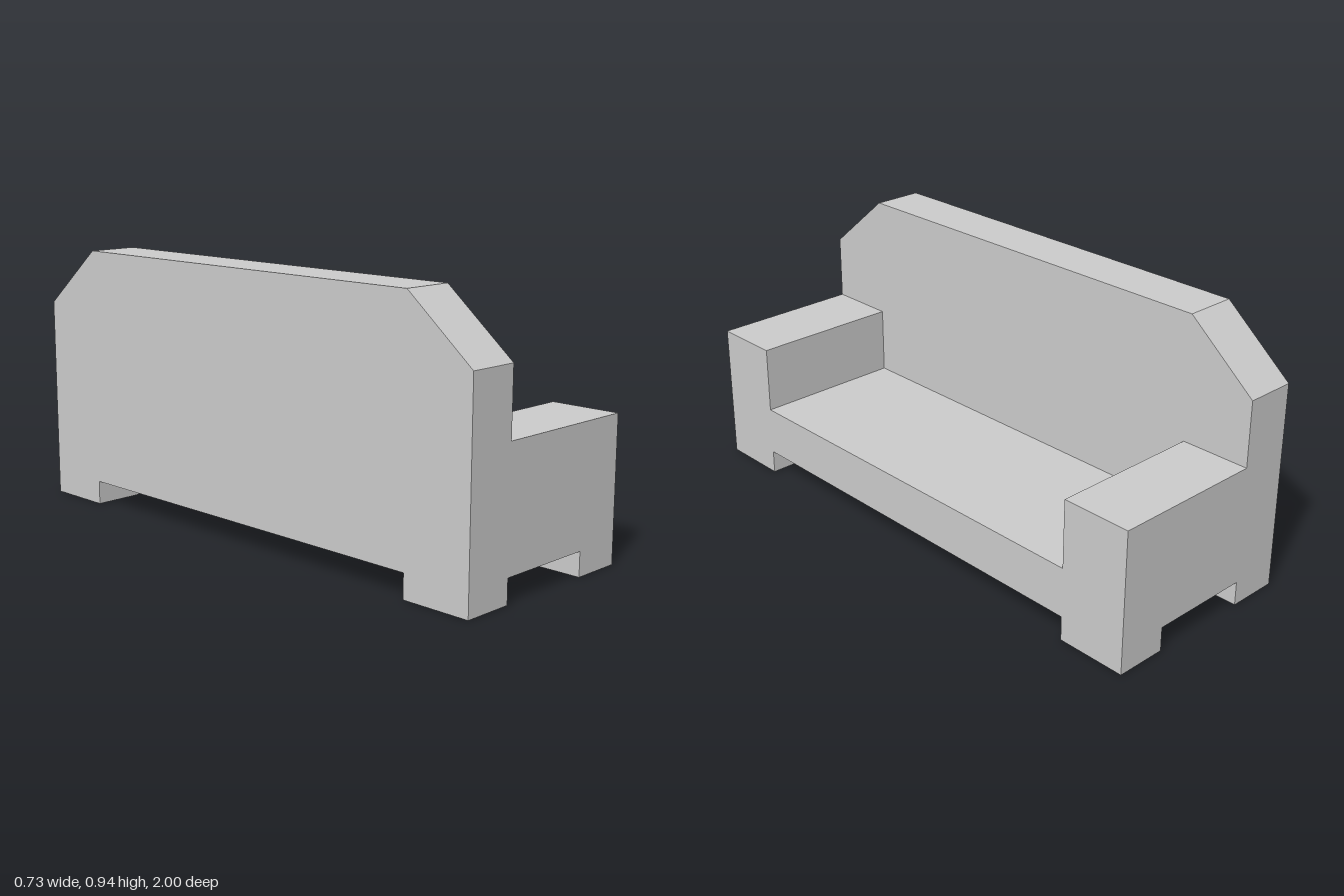
import * as THREE from 'three';

const material = new THREE.MeshStandardMaterial({ color: 0xcccccc, flatShading: true });

// Main levels and positions
const FRONT = 0.365, BACK = -0.365, BACK_INNER = -0.183;
const END = 1, ARM_INNER = 0.75;
const UNDERSIDE = 0.085, SEAT_TOP = 0.26, ARM_TOP = 0.5, SHOULDER = 0.73, TOP = 0.938;

// Box given by its minimum and maximum on each axis
function box(name, [x0, x1], [y0, y1], [z0, z1]) {
  const mesh = new THREE.Mesh(new THREE.BoxGeometry(x1 - x0, y1 - y0, z1 - z0), material);
  mesh.position.set((x0 + x1) / 2, (y0 + y1) / 2, (z0 + z1) / 2);
  mesh.name = name;
  return mesh;
}

export function createModel() {
  const sofa = new THREE.Group();
  sofa.name = 'sofa';

  // Backrest: long panel with its top corners cut off
  const outline = new THREE.Shape([
    [-END, UNDERSIDE], [END, UNDERSIDE], [END, SHOULDER],
    [ARM_INNER, TOP], [-ARM_INNER, TOP], [-END, SHOULDER],
  ].map(([z, y]) => new THREE.Vector2(z, y)));
  const panel = new THREE.ExtrudeGeometry(outline, { depth: BACK_INNER - BACK, bevelEnabled: false });
  panel.rotateY(-Math.PI / 2).translate(BACK_INNER, 0, 0);
  const backrest = new THREE.Mesh(panel, material);
  backrest.name = 'backrest';
  sofa.add(backrest);

  // Seat between the arms
  sofa.add(box('seat', [BACK_INNER, FRONT], [UNDERSIDE, SEAT_TOP], [-ARM_INNER, ARM_INNER]));

  // Arm and two legs at each end
  for (const [side, z] of [['near', [ARM_INNER, END]], ['far', [-END, -ARM_INNER]]]) {
    sofa.add(box(`${side}Arm`, [BACK_INNER, FRONT], [UNDERSIDE, ARM_TOP], z));
    sofa.add(box(`${side}FrontLeg`, [-BACK_INNER, FRONT], [0, UNDERSIDE], z));
    sofa.add(box(`${side}BackLeg`, [BACK, BACK_INNER], [0, UNDERSIDE], z));
  }

  return sofa;
}
